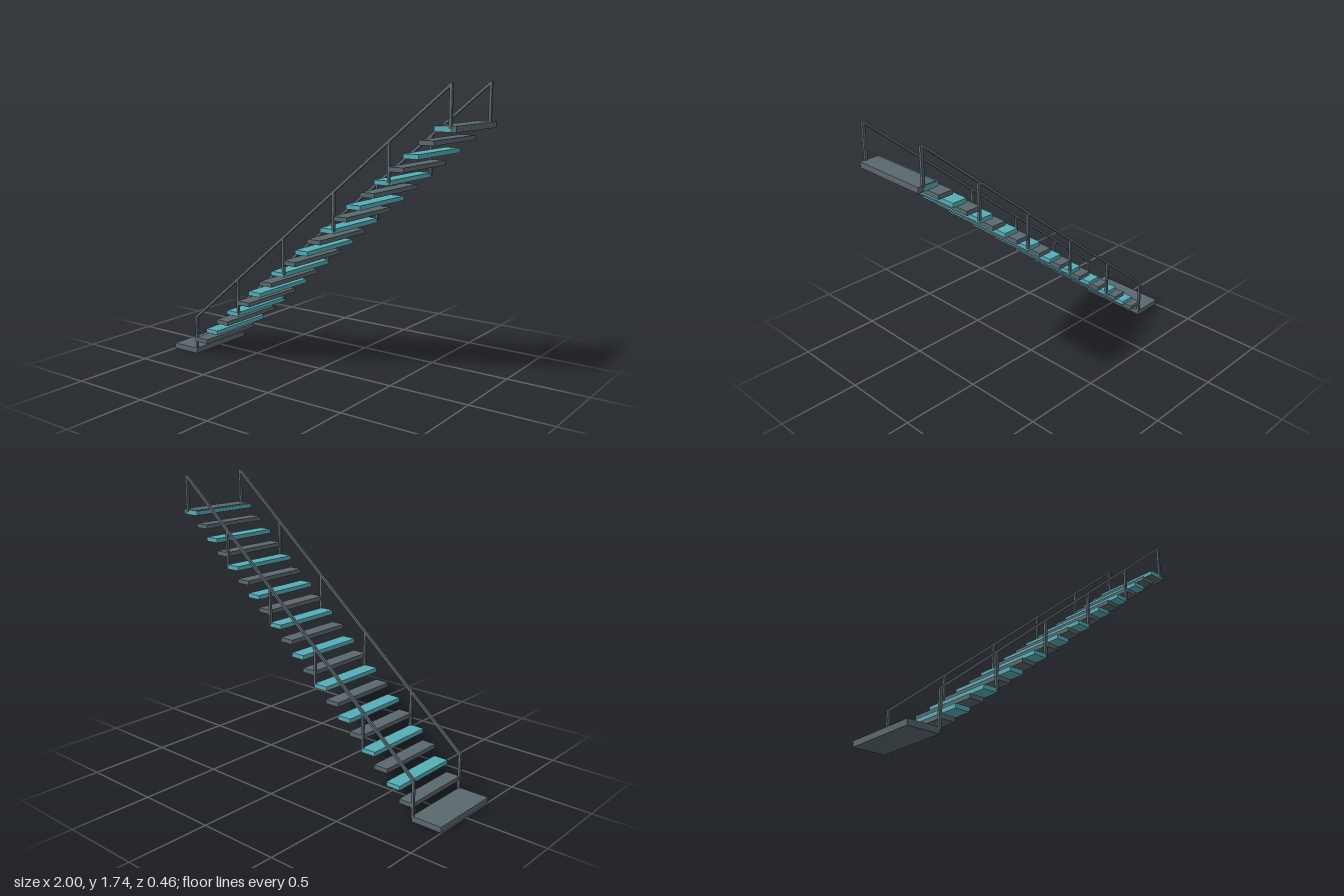
import * as THREE from 'three';

const DARK = new THREE.MeshStandardMaterial({ color: 0x5a686d });
const TEAL = new THREE.MeshStandardMaterial({ color: 0x55adb7 });

const STEPS = 20, RUN = 0.0887, RISE = 0.0745, BAR = 0.015;

function box(name, material, w, h, d, x, y, z = 0) {
  const mesh = new THREE.Mesh(new THREE.BoxGeometry(w, h, d), material);
  mesh.name = name;
  mesh.position.set(x, y, z);
  return mesh;
}

export function createModel() {
  const group = new THREE.Group();
  group.name = 'staircase';

  // Landings at the foot and the head of the flight
  group.add(box('bottomLanding', DARK, 0.192, 0.034, 0.464, -0.904, 0.017));
  group.add(box('topLanding', DARK, 0.112, 0.033, 0.456, 0.944, 1.509));

  // Floating treads in alternating colours
  for (let i = 0; i < STEPS; i++) {
    group.add(box('tread', i % 2 ? TEAL : DARK, 0.091, 0.026, 0.46,
      -0.764 + i * RUN, 0.093 + i * RISE));
  }

  // Railings: a post every four treads and one sloping handrail per side
  for (const side of [-1, 1]) {
    const railing = new THREE.Group();
    railing.name = side > 0 ? 'frontRailing' : 'backRailing';
    const z = side * 0.2245;
    const x0 = -0.809, top0 = 0.245;
    for (let k = 0; k < 6; k++) {
      const x = x0 + k * 4 * RUN;
      const bottom = 0.02 + k * 4 * RISE, top = top0 + k * 4 * RISE;
      railing.add(box('post', DARK, BAR, top - bottom, BAR, x, (top + bottom) / 2, z));
    }
    const dx = 20 * RUN, dy = 20 * RISE;
    const rail = box('handrail', DARK, Math.hypot(dx, dy) + 0.01, BAR, BAR,
      x0 + dx / 2, top0 + dy / 2 - 0.004, z);
    rail.rotation.z = Math.atan2(dy, dx);
    railing.add(rail);
    group.add(railing);
  }
  return group;
}
